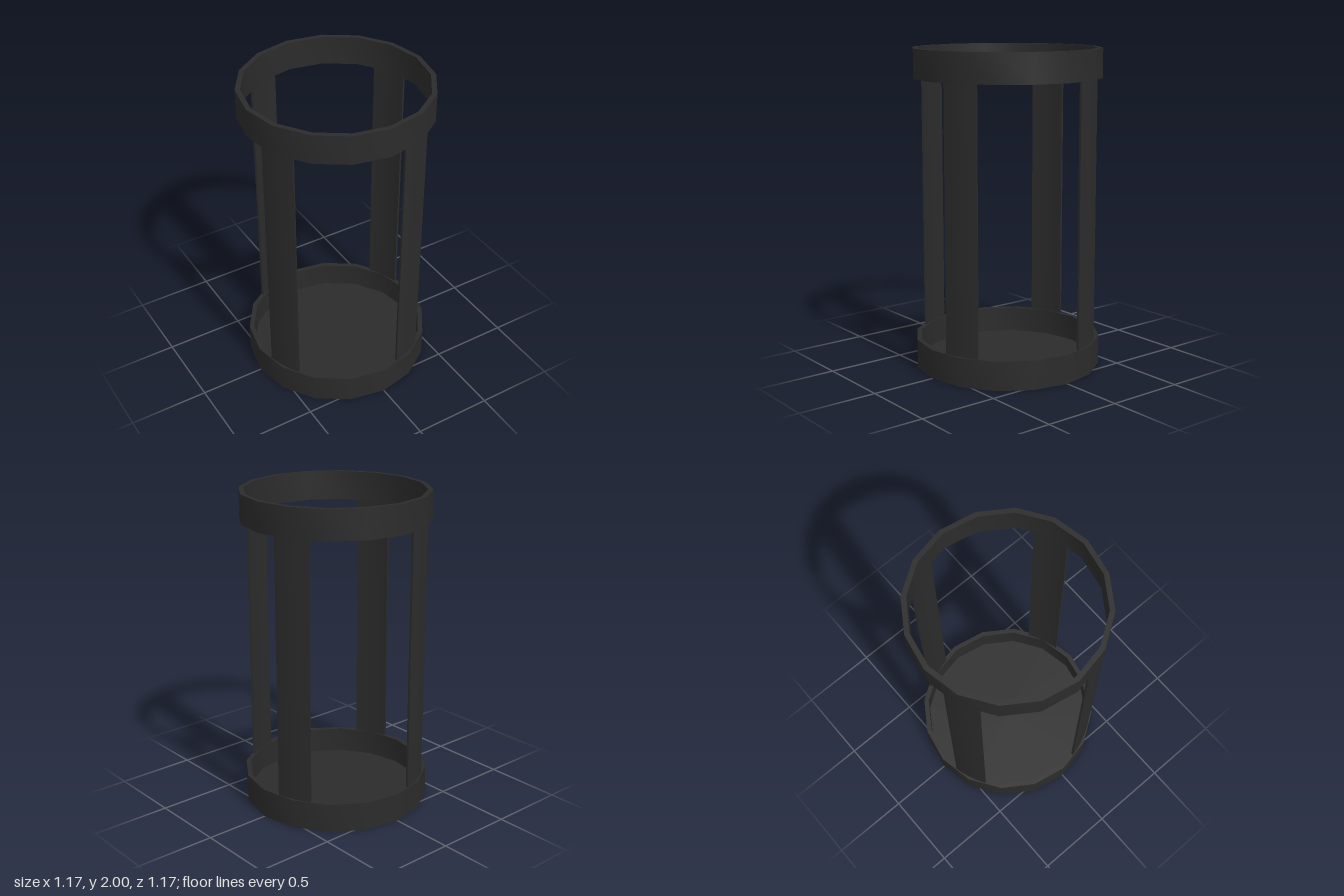
import * as THREE from 'three';
import { toCreasedNormals } from 'three/addons/utils/BufferGeometryUtils.js';

const CREASE = 0.6;
const SIDES = 16;
const R_OUT = 0.587, R_IN = 0.556, BAR_OUT = 0.57;
const HEIGHT = 2, BAND = 0.183, FLOOR = 0.02;

// Solid of revolution with sharp rims and smooth walls
function turned(profile) {
  const points = profile.map(([r, y]) => new THREE.Vector2(r, y));
  return toCreasedNormals(new THREE.LatheGeometry(points, SIDES), CREASE);
}

// Upright curved strip, centred on the given angle (from +z towards +x)
function curvedBar(angle, span, length) {
  const steps = 4;
  const arc = (r, t) => {
    const a = angle + (t - 0.5) * span;
    return new THREE.Vector2(r * Math.sin(a), -r * Math.cos(a));
  };
  const outline = [];
  for (let i = 0; i <= steps; i++) outline.push(arc(BAR_OUT, i / steps));
  for (let i = steps; i >= 0; i--) outline.push(arc(R_IN, i / steps));
  const geometry = new THREE.ExtrudeGeometry(new THREE.Shape(outline), { depth: length, bevelEnabled: false });
  geometry.rotateX(-Math.PI / 2);
  return toCreasedNormals(geometry, CREASE);
}

export function createModel() {
  const model = new THREE.Group();
  model.name = 'openCage';
  const charcoal = new THREE.MeshStandardMaterial({ color: 0x2b2b2b });
  charcoal.name = 'charcoal';

  const add = (name, geometry, y = 0) => {
    const mesh = new THREE.Mesh(geometry, charcoal);
    mesh.name = name;
    mesh.position.y = y;
    model.add(mesh);
  };

  // Shallow cup at the bottom
  add('baseCup', turned([
    [0, 0], [R_OUT, 0], [R_OUT, BAND], [R_IN, BAND], [R_IN, FLOOR], [0, FLOOR],
  ]));

  // Open ring at the top
  add('topRing', turned([
    [R_IN, 0], [R_OUT, 0], [R_OUT, BAND], [R_IN, BAND], [R_IN, 0],
  ]), HEIGHT - BAND);

  // Four uprights, ending just inside the bands
  const overlap = 0.01;
  for (let i = 0; i < 4; i++) {
    const angle = Math.PI / 8 + i * Math.PI / 2;
    add('upright' + (i + 1), curvedBar(angle, Math.PI / 8, HEIGHT - 2 * BAND + 2 * overlap), BAND - overlap);
  }

  return model;
}
